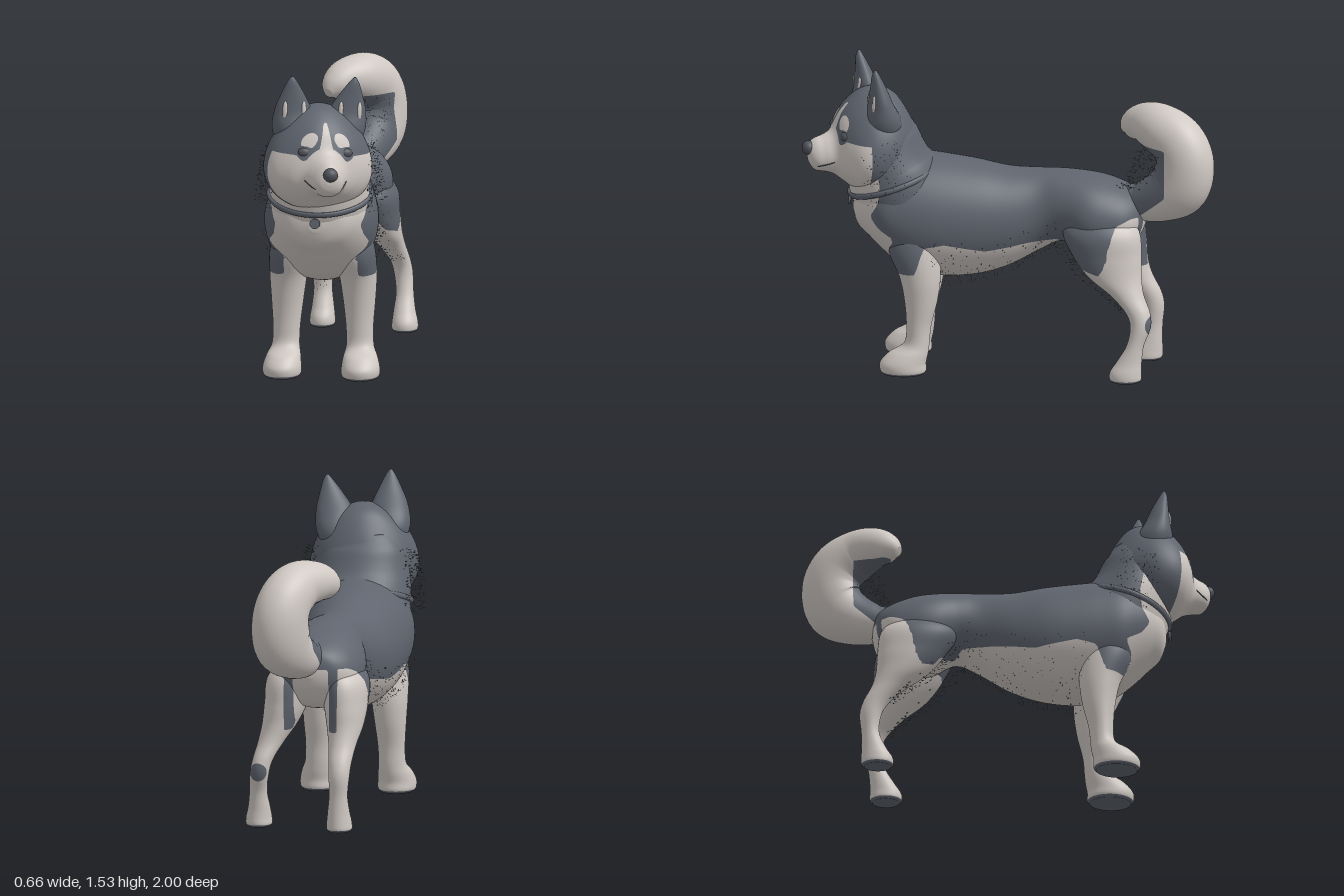
import * as THREE from 'three';

const material = (name, color) => Object.assign(new THREE.MeshStandardMaterial({ color }), { name });
const vec = (x, y, z) => new THREE.Vector3(x, y, z);
const X = vec(1, 0, 0), Y = vec(0, 1, 0), Z = vec(0, 0, 1);

// Piecewise linear lookup in a short table of [key, value]
function lookup(table, k) {
  if (k <= table[0][0]) return table[0][1];
  for (let i = 1; i < table.length; i++) {
    const [a, va] = table[i - 1], [b, vb] = table[i];
    if (k <= b) return va + ((vb - va) * (k - a)) / (b - a);
  }
  return table[table.length - 1][1];
}

// Smooth value between stations [x, y, z, halfWidth, halfDepth]
function sample(st, t) {
  const last = st.length - 1, c = Math.min(Math.max(t, 0), last);
  const i = Math.min(Math.floor(c), last - 1), f = c - i;
  const q = [i - 1, i, i + 1, i + 2].map((k) => st[Math.min(Math.max(k, 0), last)]);
  return st[0].map((_, k) => {
    const [a, b, d, e] = q.map((s) => s[k]);
    return b + 0.5 * f * (d - a + f * (2 * a - 5 * b + 4 * d - e + f * (3 * (b - d) + e - a)));
  });
}

// Closed skin over elliptical rings; without an axis the rings follow the path
function loft(st, { axis, side = X, steps = 7, sides = 48, pear = 0 } = {}) {
  const pos = [], index = [], rings = (st.length - 1) * steps;
  for (let r = 0; r <= rings; r++) {
    const t = r / steps, [x, y, z, a, b] = sample(st, t);
    const p = sample(st, t + 0.05), q = sample(st, t - 0.05);
    const w = axis || vec(p[0] - q[0], p[1] - q[1], p[2] - q[2]).normalize();
    const v = w.clone().cross(side).normalize(), u = v.clone().cross(w).normalize();
    for (let j = 0; j < sides; j++) {
      const th = (j / sides) * Math.PI * 2, s = Math.sin(th);
      pos.push(...vec(x, y, z)
        .addScaledVector(u, Math.max(a, 0.002) * Math.cos(th) * (1 - pear * s))
        .addScaledVector(v, Math.max(b, 0.002) * s));
      if (r === rings) continue;
      const i0 = r * sides + j, i1 = r * sides + ((j + 1) % sides);
      index.push(i0, i1, i1 + sides, i0, i1 + sides, i0 + sides);
    }
  }
  // end caps
  const c0 = pos.length / 3, base = rings * sides;
  pos.push(...st[0].slice(0, 3), ...st[st.length - 1].slice(0, 3));
  for (let j = 0; j < sides; j++) {
    const k = (j + 1) % sides;
    index.push(c0, k, j, c0 + 1, base + j, base + k);
  }
  const g = new THREE.BufferGeometry();
  g.setAttribute('position', new THREE.Float32BufferAttribute(pos, 3));
  g.setIndex(index);
  g.computeVertexNormals();
  return g;
}

// Loose hairs standing off a loft, between two stations and two angles
function hairs(st, [t0, t1], [a0, a1], grow, v, count) {
  let seed = 7;
  const rand = (lo, hi) => lo + (hi - lo) * ((seed = (seed * 16807) % 2147483647) / 2147483647);
  const pos = [];
  for (let i = 0; i < count; i++) {
    const [x, y, z, a, b] = sample(st, rand(t0, t1)), th = rand(a0, a1) * Math.PI, g = rand(1, grow);
    const out = X.clone().multiplyScalar(a * Math.cos(th)).addScaledVector(v, b * Math.sin(th));
    const p = vec(x, y, z).addScaledVector(out, g), tip = p.clone().addScaledVector(out.normalize(), 0.01);
    const q = p.clone().add(vec(rand(-0.003, 0.003), -0.005, rand(-0.004, 0.004)));
    pos.push(...p, ...q, ...tip, ...p, ...tip, ...q);
  }
  const geo = new THREE.BufferGeometry();
  geo.setAttribute('position', new THREE.Float32BufferAttribute(pos, 3));
  geo.computeVertexNormals();
  return geo;
}

// Two-colour coat: cuts triangles along the line where field(p) = 0
function paint(geo, field) {
  const { position, normal } = geo.attributes, idx = geo.index.array;
  const verts = [...Array(position.count).keys()].map((i) => {
    const p = vec().fromBufferAttribute(position, i);
    return { p, n: vec().fromBufferAttribute(normal, i), d: field(p) || 1e-9 };
  });
  const out = [[], []];
  for (let t = 0; t < idx.length; t += 3) {
    const tri = [verts[idx[t]], verts[idx[t + 1]], verts[idx[t + 2]]];
    [1, -1].forEach((sign, k) => {
      const poly = [];
      tri.forEach((a, i) => {
        const b = tri[(i + 1) % 3], f = a.d / (a.d - b.d);
        if (a.d * sign > 0) poly.push(a);
        if (a.d * b.d < 0) poly.push({ p: a.p.clone().lerp(b.p, f), n: a.n.clone().lerp(b.n, f).normalize() });
      });
      for (let i = 1; i < poly.length - 1; i++) out[k].push(poly[0], poly[i], poly[i + 1]);
    });
  }
  const all = out[0].concat(out[1]), g = new THREE.BufferGeometry();
  g.setAttribute('position', new THREE.Float32BufferAttribute(all.flatMap((v) => v.p.toArray()), 3));
  g.setAttribute('normal', new THREE.Float32BufferAttribute(all.flatMap((v) => v.n.toArray()), 3));
  g.addGroup(0, out[0].length, 0);
  g.addGroup(out[0].length, out[1].length, 1);
  return g;
}

// Grey coat outline: lower hem along z, front edge along y, strip behind the thighs, hock spot, soles
const HEM = [[-0.6, 0.79], [-0.53, 0.76], [-0.5, 0.68], [-0.485, 0.58], [-0.45, 0.52], [-0.37, 0.54], [-0.24, 0.66],
  [-0.1, 0.65], [0.1, 0.62], [0.3, 0.66], [0.4, 0.64], [0.44, 0.51], [0.58, 0.5]];
const FRONT = [[0.48, 0.5], [0.55, 0.57], [0.63, 0.57], [0.68, 0.54], [0.73, 0.62], [0.79, 0.66], [0.86, 0.62], [0.95, 0.61], [1.1, 0.64]];
const HOCK = vec(0.25, 0.28, -0.7);
function coat(p) {
  const x = Math.abs(p.x), inner = x - 0.18 + Math.max(0, (p.y - 0.58) * 3);
  const saddle = Math.min(p.y - lookup(HEM, p.z), lookup(FRONT, p.y) - p.z, inner);
  const strip = Math.min(0.022 - Math.abs(x - 0.11), -0.57 - p.z, p.y - 0.48);
  return Math.max(saddle, strip, 0.012 - p.y, 0.045 - p.distanceTo(HOCK));
}

// Grey head with a pale mask, blaze and brows around grey eye patches
function face(p) {
  const x = Math.abs(p.x);
  const mask = Math.min(p.z - 0.07, 0.015 - p.y);
  const blaze = Math.min(0.03 - x - Math.max(0, p.y - 0.06) * 0.2, 0.17 - p.y, p.z - 0.08);
  const brow = Math.min(0.034 - Math.hypot((x - 0.08) * 0.85, p.y - 0.085 + (x - 0.08) * 0.4), p.z - 0.05);
  const eye = Math.min(0.042 - Math.hypot(x - 0.1, (p.y - 0.025) * 1.2), 0.195 - p.z);
  return Math.max(eye, -Math.max(mask, p.z - 0.195, blaze, brow));
}

export function createModel() {
  const grey = material('greyCoat', 0x5f646e), pale = material('paleCoat', 0xcfc8c3), dark = material('darkSkin', 0x50535b);
  const dog = new THREE.Group();
  dog.name = 'dog';
  const add = (parent, name, geo, mat) => {
    const m = new THREE.Mesh(geo, mat);
    m.name = name;
    parent.add(m);
    return m;
  };
  const furry = (parent, name, geo, field) => add(parent, name, paint(geo, field), [grey, pale]);
  const ball = (parent, name, mat, at, size) => {
    const m = add(parent, name, new THREE.SphereGeometry(1, 24, 16), mat);
    m.position.set(...at);
    m.scale.set(...size);
  };

  // torso: z, top, bottom, half width, centre x
  const torso = [[-0.67, 0.81, 0.75, 0.03, 0], [-0.645, 0.87, 0.68, 0.12, 0], [-0.58, 0.915, 0.6, 0.19, 0], [-0.48, 0.955, 0.57, 0.222, 0],
    [-0.38, 0.975, 0.58, 0.222, 0], [-0.26, 0.985, 0.63, 0.18, -0.01], [-0.15, 0.985, 0.58, 0.17, -0.02],
    [0, 0.99, 0.5, 0.215, -0.02], [0.15, 1.02, 0.455, 0.25, -0.02], [0.3, 1.045, 0.445, 0.267, -0.015],
    [0.42, 1.06, 0.46, 0.272, -0.012], [0.52, 1.06, 0.5, 0.268, -0.01], [0.6, 1.04, 0.57, 0.245, 0],
    [0.67, 1, 0.64, 0.2, 0], [0.73, 0.92, 0.7, 0.13, 0], [0.755, 0.83, 0.77, 0.03, 0]]
    .map(([z, top, low, a, x]) => [x, (top + low) / 2, z, a, (top - low) / 2]);
  furry(dog, 'torso', loft(torso, { axis: Z, sides: 64 }), coat);
  add(dog, 'bellyHair', hairs(torso, [5.2, 9.6], [1.06, 1.94], 1.14, Y, 500), grey);

  const neck = [[-0.01, 0.78, 0.48, 0.24, 0.21], [0, 0.9, 0.54, 0.25, 0.23], [0, 0.99, 0.58, 0.245, 0.215],
    [0, 1.08, 0.6, 0.23, 0.19], [0, 1.17, 0.61, 0.21, 0.165], [0, 1.25, 0.61, 0.16, 0.12]];
  furry(dog, 'neck', loft(neck), coat);
  for (const k of [0, 1])
    add(dog, 'ruffHair', hairs(neck, [0.9, 4], [k - 0.15, k + 0.15], 1.28, vec(0, 0.3, -0.95), 200), grey);

  // legs, drawn from hip to sole
  const frontLeg = [[0.13, 0.78, 0.45, 0.08, 0.1], [0.153, 0.62, 0.45, 0.1, 0.125], [0.167, 0.48, 0.42, 0.09, 0.1],
    [0.172, 0.36, 0.415, 0.078, 0.08], [0.175, 0.24, 0.425, 0.067, 0.061], [0.178, 0.15, 0.435, 0.067, 0.062],
    [0.184, 0.1, 0.475, 0.083, 0.096], [0.188, 0.055, 0.5, 0.093, 0.112], [0.188, 0.018, 0.5, 0.093, 0.113], [0.188, 0, 0.5, 0.08, 0.1]];
  const hindLeft = [[0.08, 0.83, -0.45, 0.08, 0.11], [0.13, 0.72, -0.455, 0.115, 0.185], [0.15, 0.6, -0.485, 0.105, 0.168],
    [0.175, 0.5, -0.525, 0.085, 0.13], [0.205, 0.42, -0.585, 0.064, 0.083], [0.235, 0.34, -0.64, 0.05, 0.06],
    [0.25, 0.27, -0.655, 0.046, 0.05], [0.26, 0.18, -0.63, 0.043, 0.042], [0.262, 0.1, -0.602, 0.053, 0.06],
    [0.266, 0.05, -0.585, 0.062, 0.076], [0.266, 0.015, -0.583, 0.064, 0.078], [0.266, 0, -0.583, 0.055, 0.065]];
  const hindRight = [[-0.08, 0.83, -0.45, 0.08, 0.11], [-0.13, 0.72, -0.455, 0.115, 0.185], [-0.145, 0.6, -0.495, 0.105, 0.163],
    [-0.15, 0.5, -0.54, 0.088, 0.125], [-0.15, 0.42, -0.605, 0.068, 0.083], [-0.15, 0.34, -0.665, 0.056, 0.063],
    [-0.15, 0.27, -0.692, 0.05, 0.052], [-0.147, 0.18, -0.692, 0.045, 0.044], [-0.145, 0.1, -0.675, 0.053, 0.06],
    [-0.145, 0.05, -0.66, 0.06, 0.076], [-0.145, 0.015, -0.657, 0.062, 0.078], [-0.145, 0, -0.657, 0.052, 0.065]];
  const legs = { leftFrontLeg: frontLeg, rightFrontLeg: frontLeg.map(([x, ...rest]) => [-x - 0.006, ...rest]),
    leftHindLeg: hindLeft, rightHindLeg: hindRight };
  for (const [name, st] of Object.entries(legs)) {
    furry(dog, name, loft(st, { axis: vec(0, -1, 0), sides: 40 }), coat);
    if (name.includes('Hind')) add(dog, 'thighHair', hairs(st, [1.6, 5], [0.3, 0.7], 1.5, Z, 110), grey);
  }

  // curled tail
  const tail = [[0, 0.86, -0.55, 0.06, 0.06], [0.03, 0.845, -0.64, 0.09, 0.095], [0.07, 0.88, -0.745, 0.112, 0.125],
    [0.1, 0.95, -0.835, 0.125, 0.152], [0.105, 1.06, -0.862, 0.128, 0.146], [0.085, 1.155, -0.825, 0.125, 0.138],
    [0.04, 1.21, -0.74, 0.117, 0.125], [-0.03, 1.22, -0.66, 0.1, 0.1], [-0.08, 1.195, -0.59, 0.07, 0.07], [-0.105, 1.17, -0.55, 0.025, 0.025]];
  furry(dog, 'tail', loft(tail, { side: vec(0.835, 0, 0.55) }),
    (p) => Math.min(p.z + 0.765, 1.14 - p.y, p.y - 0.8 + (p.z + 0.65) * 0.9));
  add(dog, 'tailHair', hairs(tail, [1.2, 4], [1.35, 1.65], 1.75, vec(0, -0.4, -0.9), 200), grey);

  // collar with tag
  const collar = add(dog, 'collar', new THREE.TorusGeometry(1, 0.04, 12, 64), grey);
  collar.position.set(0, 0.93, 0.56);
  collar.scale.set(0.251, 0.226, 0.35);
  collar.rotation.x = 1.9;
  const tag = add(dog, 'collarTag', new THREE.CylinderGeometry(0.025, 0.025, 0.012, 24), grey);
  tag.position.set(0, 0.815, 0.772);
  tag.rotation.x = 1.45;

  // head, turned towards its left
  const head = new THREE.Group();
  head.name = 'head';
  head.position.set(0, 1.15, 0.66);
  head.rotation.set(0, 0.33, -0.06);
  dog.add(head);
  const skull = [[-0.21, -0.03, 0.06, 0.05], [-0.17, -0.025, 0.15, 0.13], [-0.11, -0.01, 0.21, 0.205], [-0.04, -0.017, 0.25, 0.25],
    [0.04, -0.025, 0.26, 0.255], [0.11, -0.035, 0.235, 0.22], [0.165, -0.045, 0.172, 0.168], [0.205, -0.072, 0.11, 0.112],
    [0.25, -0.08, 0.086, 0.09], [0.29, -0.083, 0.07, 0.08], [0.315, -0.078, 0.048, 0.055], [0.325, -0.075, 0.02, 0.025]];
  furry(head, 'skullAndMuzzle', loft(skull.map(([z, y, a, b]) => [0, y, z, a, b]), { axis: Z, sides: 72, pear: 0.2 }), face);
  ball(head, 'nose', dark, [0, -0.05, 0.322], [0.036, 0.034, 0.032]);

  for (const s of [1, -1]) {
    add(head, 'ear', loft([[s * 0.125, -0.02, -0.03, 0.05, 0.06], [s * 0.13, 0.1, -0.015, 0.097, 0.09], [s * 0.134, 0.2, 0, 0.092, 0.058],
      [s * 0.143, 0.28, 0.015, 0.06, 0.038], [s * 0.152, 0.345, 0.03, 0.027, 0.02], [s * 0.155, 0.376, 0.035, 0.006, 0.006]],
    { axis: Y, sides: 32 }), grey);
    for (const k of [-1, 1])
      ball(head, 'innerEarFur', pale, [s * 0.138 + k * 0.044, 0.205, 0.042], [0.014, 0.052, 0.013]);
    ball(head, 'eye', dark, [s * 0.1, 0.028, 0.163], [0.036, 0.027, 0.026]);
    // mouth line
    const lip = [[0, -0.118, 0.314], [0.035, -0.132, 0.302], [0.066, -0.126, 0.286], [0.086, -0.115, 0.25], [0.102, -0.1, 0.215]];
    const path = new THREE.CatmullRomCurve3(lip.map(([x, y, z]) => vec(s * x, y, z)));
    add(head, 'mouthLine', new THREE.TubeGeometry(path, 24, 0.003, 8), dark);
  }
  return dog;
}
